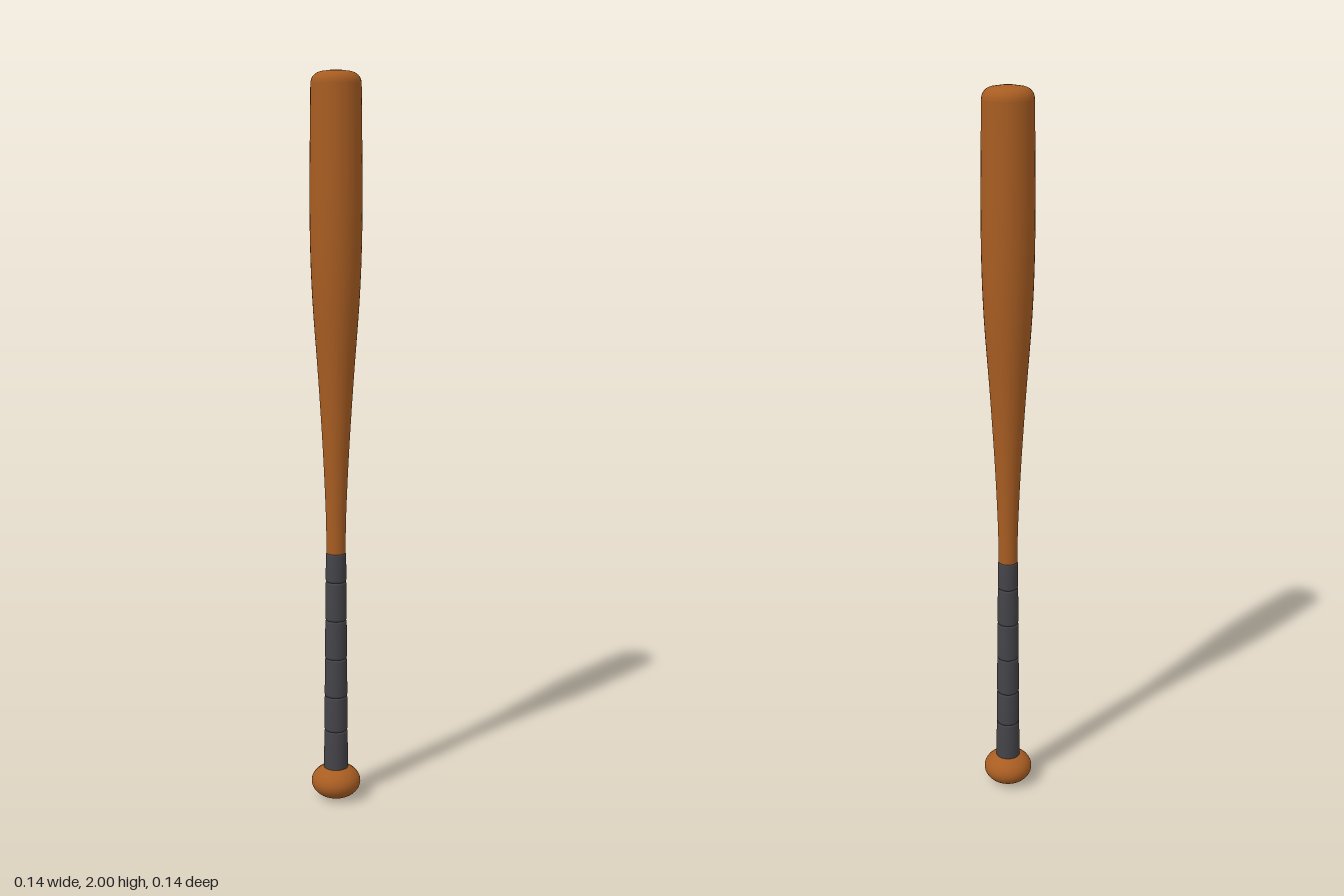
import * as THREE from 'three';

const wood = new THREE.MeshStandardMaterial({ color: 0xa85d22 });
wood.name = 'wood';
const tape = new THREE.MeshStandardMaterial({ color: 0x444449 });
tape.name = 'gripTape';

// Smooth turned part from [radius, height] pairs, bottom to top
function turned(name, pairs, material, samples = 0) {
  let points = pairs.map(([r, y]) => new THREE.Vector2(r, y));
  if (samples) points = new THREE.SplineCurve(points).getPoints(samples);
  const mesh = new THREE.Mesh(new THREE.LatheGeometry(points, 40), material);
  mesh.name = name;
  return mesh;
}

export function createModel() {
  const group = new THREE.Group();
  group.name = 'baseballBat';

  // Flattened ball at the handle end
  const knob = new THREE.Mesh(new THREE.SphereGeometry(1, 40, 24), wood);
  knob.name = 'knob';
  knob.scale.set(0.069, 0.048, 0.069);
  knob.position.y = 0.048;
  group.add(knob);

  // Tapering shaft swelling into the barrel
  group.add(turned('barrel', [
    [0.026, 0.66], [0.0265, 0.72], [0.028, 0.82], [0.036, 1.0], [0.0485, 1.2],
    [0.063, 1.4], [0.069, 1.55], [0.07, 1.7], [0.0685, 1.85], [0.067, 1.965],
  ], wood, 48));

  // Rounded barrel end
  const cap = [];
  for (let i = 0; i <= 8; i++) {
    const a = (i / 8) * Math.PI / 2;
    cap.push([0.037 + 0.03 * Math.cos(a), 1.965 + 0.031 * Math.sin(a)]);
  }
  cap.push([0.02, 1.999], [0, 2]);
  group.add(turned('barrelEnd', cap, wood));

  // Overlapping bands of grip tape, each slightly wider at its lower edge
  const seams = [0.08, 0.2, 0.3, 0.41, 0.52, 0.63, 0.712];
  const radius = (y) => 0.034 - 0.006 * (y - 0.08) / 0.632;
  for (let i = 0; i < seams.length - 1; i++) {
    const a = seams[i], b = seams[i + 1];
    group.add(turned('gripBand' + (i + 1), [
      [0.02, a], [radius(a) - 0.002, a], [radius(a), a + 0.006],
      [radius(b), b - 0.006], [radius(b) - 0.002, b], [0.02, b],
    ], tape));
  }
  return group;
}
